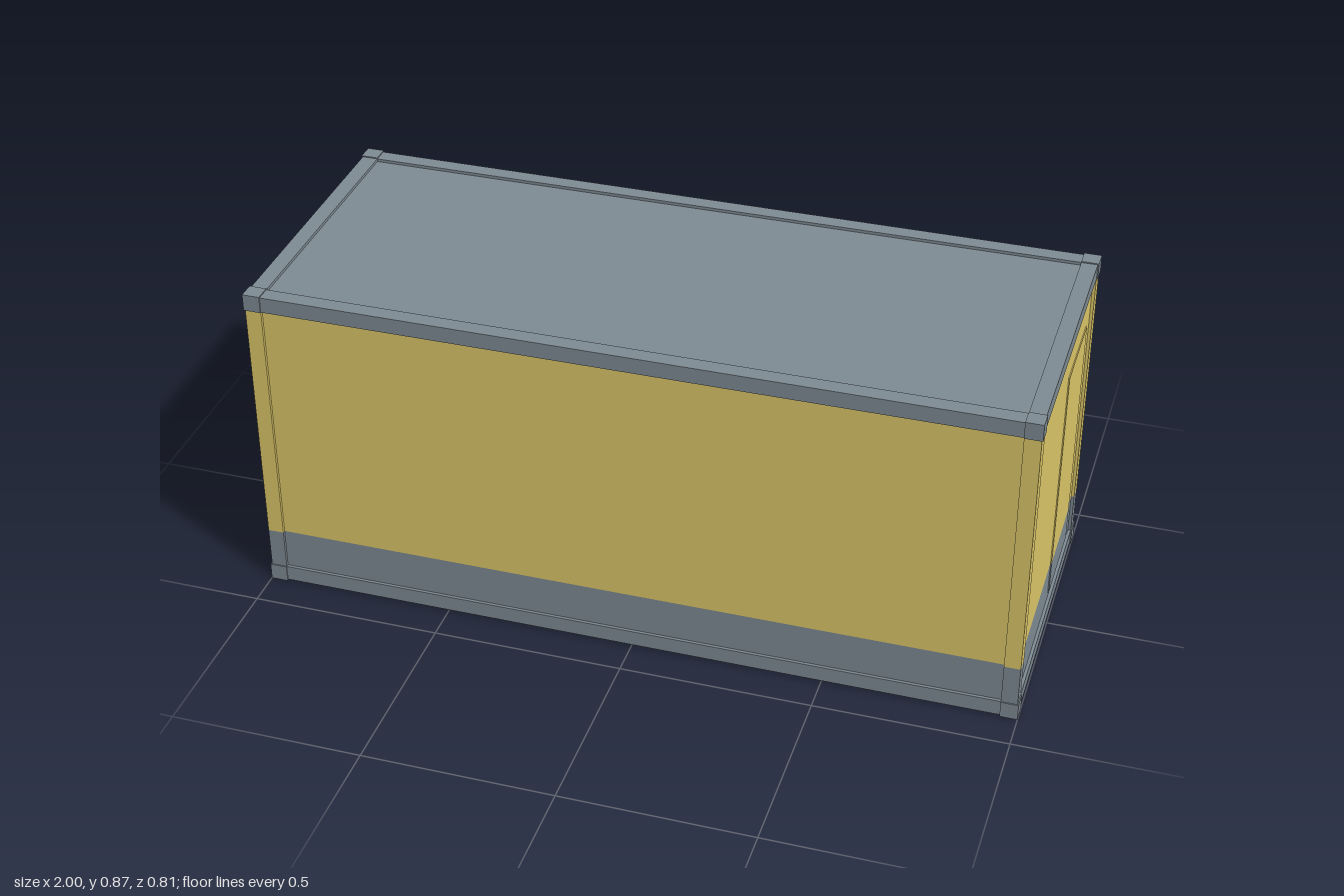
import * as THREE from 'three';

const yellow = new THREE.MeshStandardMaterial({ color: 0xdfc96a });
const grey = new THREE.MeshStandardMaterial({ color: 0x808c95 });

const X = 0.997, Z = 0.402;      // outer faces of the frame
const Y0 = 0.003, Y1 = 0.87;     // underside and top of the frame
const T = 0.042;                 // beam thickness
const CAST = 0.045;              // corner fitting size
const SPLIT = 0.155;             // top of the painted grey band
const INSET = 0.008;             // how far panels sit behind the frame

export function createModel() {
  const group = new THREE.Group();
  group.name = 'container';

  // Box given by its limits on each axis
  const box = (name, material, x0, x1, y0, y1, z0, z1) => {
    const mesh = new THREE.Mesh(new THREE.BoxGeometry(x1 - x0, y1 - y0, z1 - z0), material);
    mesh.position.set((x0 + x1) / 2, (y0 + y1) / 2, (z0 + z1) / 2);
    mesh.name = name;
    group.add(mesh);
  };
  // Box in two colours, grey below the band and yellow above it
  const painted = (name, x0, x1, y0, y1, z0, z1) => {
    box(name + 'Lower', grey, x0, x1, y0, SPLIT, z0, z1);
    box(name + 'Upper', yellow, x0, x1, SPLIT, y1, z0, z1);
  };

  // Wall panels, floor and roof, all set back from the frame
  const px = X - INSET, pz = Z - INSET;
  painted('walls', -px, px, Y0 + T / 2, Y1 - T / 2, -pz, pz);
  box('floor', grey, -X + T, X - T, Y0 + INSET, Y0 + T, -Z + T, Z - T);
  box('roof', grey, -X + T, X - T, Y1 - T, Y1 - INSET, -Z + T, Z - T);

  // Bottom and top rails
  for (const [name, y] of [['bottom', Y0], ['top', Y1 - T]]) {
    for (const s of [-1, 1]) {
      const z = s * (Z - T / 2), x = s * (X - T / 2);
      box(name + 'SideRail', grey, -X + T, X - T, y, y + T, z - T / 2, z + T / 2);
      box(name + 'EndRail', grey, x - T / 2, x + T / 2, y, y + T, -Z + T, Z - T);
    }
  }

  // Corner posts and the slightly proud corner fittings
  for (const sx of [-1, 1]) for (const sz of [-1, 1]) {
    const x = sx * (X - T / 2), z = sz * (Z - T / 2);
    painted('cornerPost', x - T / 2, x + T / 2, CAST, 0.873 - CAST, z - T / 2, z + T / 2);
    const cx = sx * (1 - CAST / 2), cz = sz * (0.405 - CAST / 2), h = CAST / 2;
    for (const y of [0, 0.873 - CAST])
      box('cornerFitting', grey, cx - h, cx + h, y, y + CAST, cz - h, cz + h);
  }

  // Door on the left end
  painted('door', px - 0.01, px + 0.003, 0.06, 0.72, -0.305, -0.05);

  return group;
}
